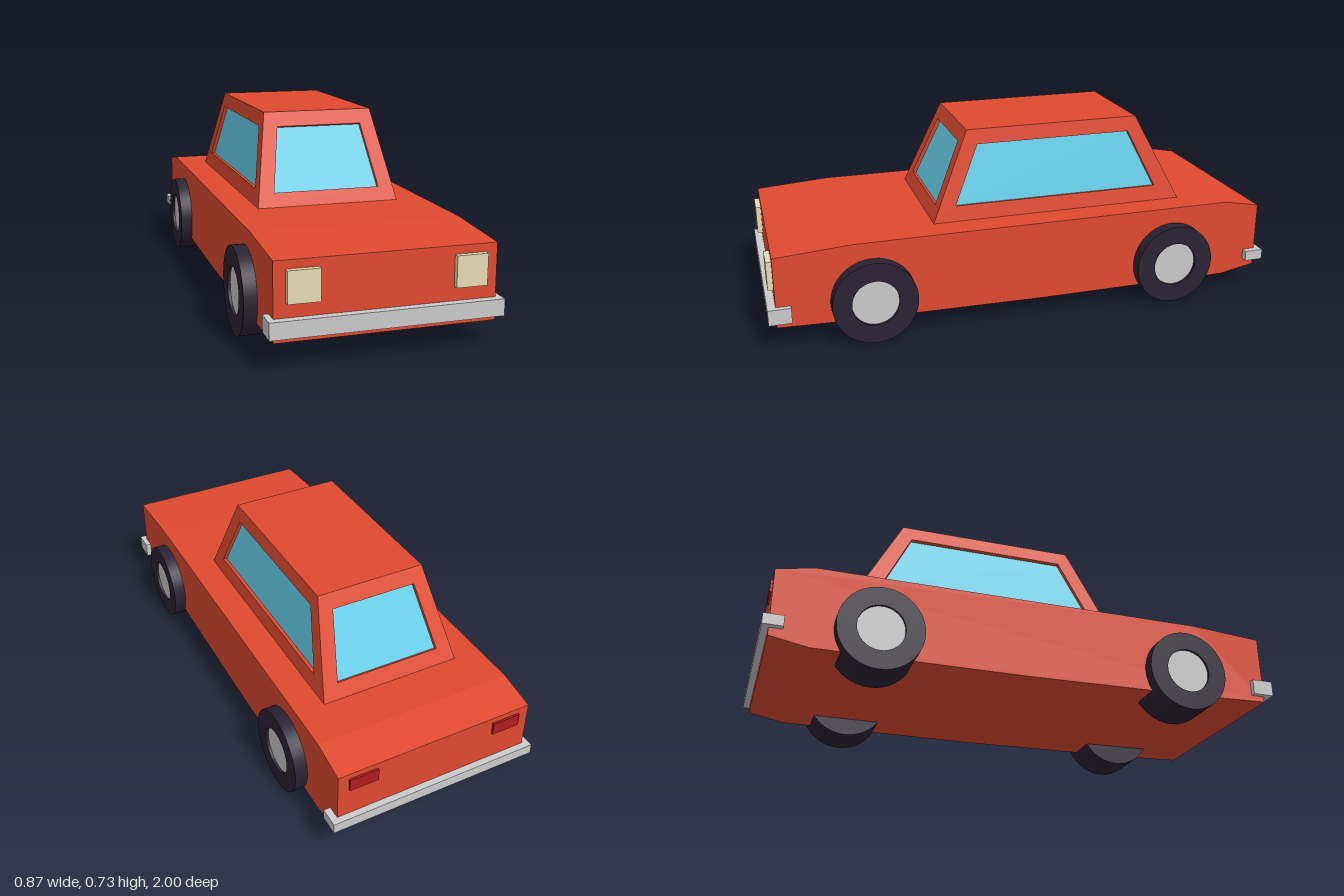
import * as THREE from 'three';
import { toCreasedNormals } from 'three/addons/utils/BufferGeometryUtils.js';

const paint = (color) => new THREE.MeshStandardMaterial({ color });
const RED = paint(0xe04a30);
const GLASS = paint(0x66d0ea);
const RUBBER = paint(0x2b2233);
const GREY = paint(0xcccccc);
const LAMP = paint(0xe8dcb4);
const TAIL = paint(0xb01c20);
RED.flatShading = GLASS.flatShading = true;

function add(parent, name, geometry, material) {
  const mesh = new THREE.Mesh(geometry, material);
  mesh.name = name;
  parent.add(mesh);
  return mesh;
}

// Box given by its lower and upper limits on each axis
function box(parent, name, material, [x0, x1], [y0, y1], [z0, z1]) {
  const mesh = add(parent, name, new THREE.BoxGeometry(x1 - x0, y1 - y0, z1 - z0), material);
  mesh.position.set((x0 + x1) / 2, (y0 + y1) / 2, (z0 + z1) / 2);
}

// Flat four-sided faces, corners counterclockwise from outside
function quads(list) {
  const points = list.flatMap(([a, b, c, d]) => [a, b, c, a, c, d]);
  const geometry = new THREE.BufferGeometry().setFromPoints(points);
  geometry.computeVertexNormals();
  return geometry;
}

// Lower body: side profile (z, y) extruded across the width
function addBody(car) {
  const profile = [
    [0.97, 0.09], [0.97, 0.363], [0.68, 0.383], [-0.83, 0.383],
    [-0.975, 0.355], [-0.975, 0.095], [-0.83, 0.068], [-0.05, 0.068], [0.69, 0.08],
  ];
  const shape = new THREE.Shape(profile.map(([z, y]) => new THREE.Vector2(z, y)));
  const geometry = new THREE.ExtrudeGeometry(shape, { depth: 0.778, bevelEnabled: false });
  geometry.rotateY(-Math.PI / 2).translate(0.389, 0, 0);
  add(car, 'body', geometry, RED);
}

// Tapered cabin with a recessed window in each side
function addCabin(car) {
  const cabin = new THREE.Group();
  cabin.name = 'cabin';
  car.add(cabin);

  const Y0 = 0.383, Y1 = 0.725;
  const ring = (y, x, front, back) => [
    [-x, front], [x, front], [x, back], [-x, back],
  ].map(([px, z]) => new THREE.Vector3(px, y, z));
  const low = ring(Y0, 0.278, 0.355, -0.665);
  const high = ring(Y1, 0.215, 0.205, -0.49);

  // Window limits: heights, then margins from the two edges at sill and head
  const panes = [
    { name: 'windscreen', y: [0.435, 0.671], sill: [0.059, 0.059], head: [0.057, 0.057] },
    { name: 'leftWindow', y: [0.442, 0.668], sill: [0.064, 0.071], head: [0.064, 0.064] },
    { name: 'rearWindow', y: [0.437, 0.671], sill: [0.059, 0.059], head: [0.057, 0.057] },
    { name: 'rightWindow', y: [0.442, 0.668], sill: [0.071, 0.064], head: [0.064, 0.064] },
  ];

  const shell = [[high[0], high[1], high[2], high[3]]];
  panes.forEach(({ name, y, sill, head }, i) => {
    const j = (i + 1) % 4;
    const outer = [low[i], low[j], high[j], high[i]];
    const along = low[j].clone().sub(low[i]).normalize();
    const normal = along.clone().cross(high[i].clone().sub(low[i])).normalize();
    const at = (a, b, height, shift) =>
      a.clone().lerp(b, (height - Y0) / (Y1 - Y0)).addScaledVector(along, shift);
    const opening = [
      at(low[i], high[i], y[0], sill[0]), at(low[j], high[j], y[0], -sill[1]),
      at(low[j], high[j], y[1], -head[1]), at(low[i], high[i], y[1], head[0]),
    ];
    const inner = opening.map((p) => p.clone().addScaledVector(normal, -0.015));
    for (let k = 0; k < 4; k++) {
      const n = (k + 1) % 4;
      shell.push([outer[k], outer[n], opening[n], opening[k]]);
      shell.push([opening[k], opening[n], inner[n], inner[k]]);
    }
    add(cabin, name, quads([inner]), GLASS);
  });
  add(cabin, 'cabinShell', quads(shell), RED);
}

// Wheel: turned tyre with a slightly sunken hub, axis pointing outwards
function addWheel(car, name, side, z) {
  const wheel = new THREE.Group();
  wheel.name = name;
  const profile = [[0, 0], [0.16, 0], [0.16, 0.175], [0.088, 0.175], [0.088, 0.15]]
    .map(([r, h]) => new THREE.Vector2(r, h));
  add(wheel, 'tyre', toCreasedNormals(new THREE.LatheGeometry(profile, 40), 0.6), RUBBER);
  const hub = add(wheel, 'hub', new THREE.CylinderGeometry(0.088, 0.088, 0.03, 40), GREY);
  hub.position.y = 0.15;
  wheel.rotation.z = -side * Math.PI / 2;
  wheel.position.set(side * 0.262, 0.16, z);
  car.add(wheel);
}

export function createModel() {
  const car = new THREE.Group();
  car.name = 'car';
  addBody(car);
  addCabin(car);

  // Bumpers
  box(car, 'frontBumper', GREY, [-0.41, 0.41], [0.112, 0.172], [0.915, 1]);
  box(car, 'rearBumper', GREY, [-0.415, 0.415], [0.124, 0.165], [-1, -0.925]);

  // Lamps and wheels on both sides
  for (const [label, side] of [['left', 1], ['right', -1]]) {
    const span = [side * 0.291 - 0.056, side * 0.291 + 0.056];
    box(car, label + 'Headlight', LAMP, span, [0.222, 0.333], [0.95, 0.99]);
    box(car, label + 'TailLight', TAIL, span, [0.283, 0.333], [-0.983, -0.95]);
    addWheel(car, label + 'FrontWheel', side, 0.613);
    addWheel(car, label + 'RearWheel', side, -0.592);
  }
  return car;
}
